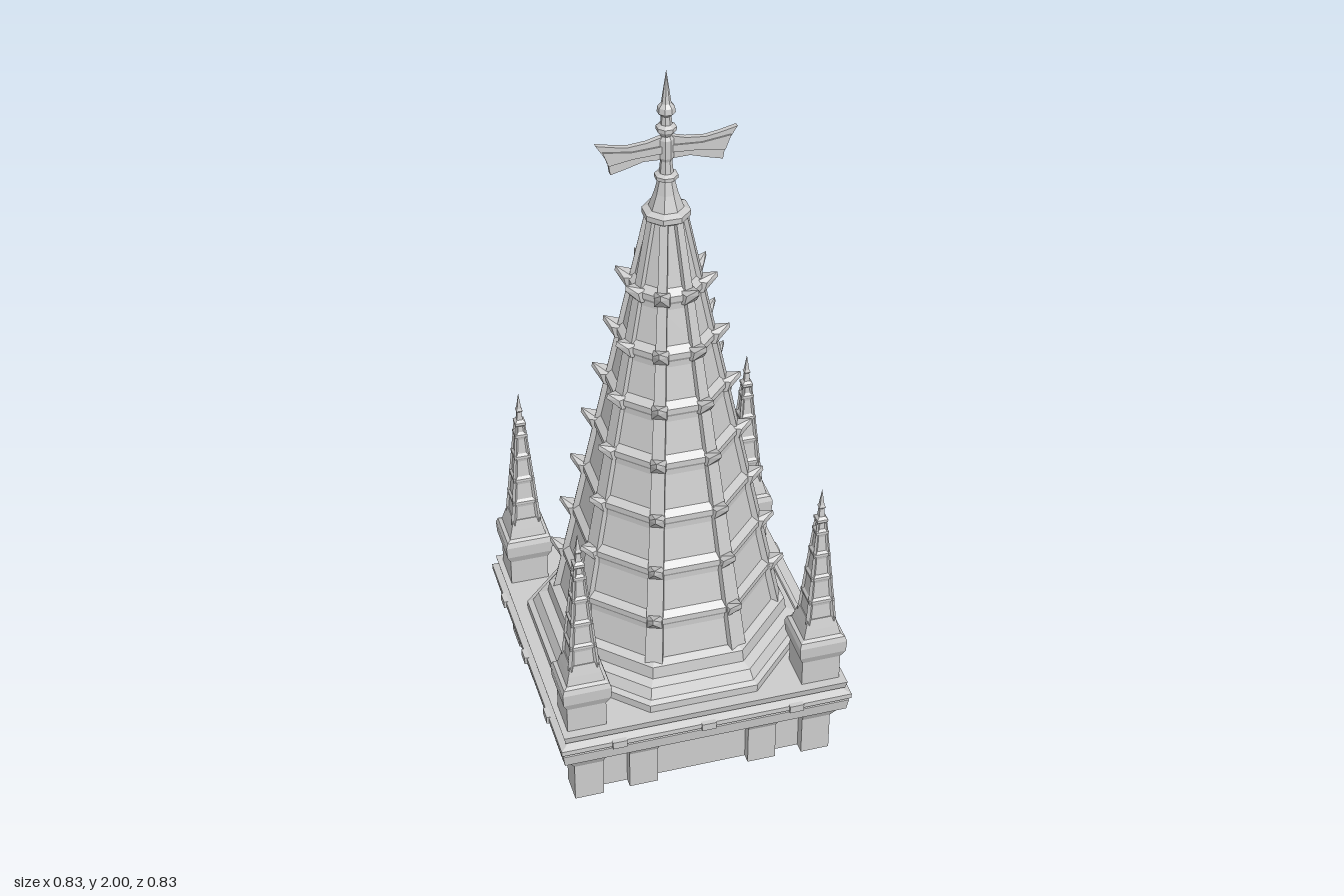
import * as THREE from 'three';
import { ConvexGeometry } from 'three/addons/geometries/ConvexGeometry.js';

const stone = new THREE.MeshStandardMaterial({ color: 0xcccccc, flatShading: true });

function add(parent, name, geometry, x = 0, y = 0, z = 0) {
  const mesh = new THREE.Mesh(geometry, stone);
  mesh.name = name;
  mesh.position.set(x, y, z);
  parent.add(mesh);
  return mesh;
}

// Regular n-sided solid from [half width across flats, y] pairs, bottom to top
function prism(profile, n) {
  const pts = profile.map(([a, y]) => new THREE.Vector2(a / Math.cos(Math.PI / n), y));
  const g = new THREE.LatheGeometry(pts, n, Math.PI / n).toNonIndexed();
  g.computeVertexNormals();
  return g;
}

const hull = (pts) => new ConvexGeometry(pts.map((p) => new THREE.Vector3(...p)));

// Rectangular block between two levels, each given as [x0, x1, z0, z1, y]
const loft = (...levels) => hull(levels.flatMap(([x0, x1, z0, z1, y]) =>
  [[x0, y, z0], [x1, y, z0], [x0, y, z1], [x1, y, z1]]));

// Tapering rib on a +z facing edge, running from radius r0 at y0 to r1 at y1
const ribGeometry = (r0, y0, w0, r1, y1, w1, out) => loft(
  [-w0, w0, r0 - 2 * w0, r0 + out, y0], [-w1, w1, r1 - 2 * w1, r1 + out, y1]);

// Tapered wall with a projecting string course at each given height
function bandedProfile(wall, y0, y1, bands, out, h) {
  const p = [[wall(y0), y0]];
  for (const b of bands) {
    p.push([wall(b - 2.6 * h), b - 2.6 * h], [wall(b) + out * 0.6, b - 1.6 * h],
      [wall(b) + out, b - h], [wall(b) + out, b], [wall(b + h), b + h]);
  }
  p.push([wall(y1), y1]);
  return p;
}

function buildBase() {
  const base = new THREE.Group();
  base.name = 'base';
  add(base, 'baseWall', prism([[0, 0], [0.335, 0], [0.335, 0.18], [0, 0.18]], 4));
  add(base, 'cornice', prism([[0, 0.165], [0.4, 0.165], [0.405, 0.2], [0.395, 0.205], [0.41, 0.21],
    [0.41, 0.225], [0.385, 0.235], [0.395, 0.24], [0.4, 0.262], [0, 0.262]], 4));
  for (let k = 0; k < 4; k++) {
    const side = new THREE.Group();
    side.name = 'baseSide';
    side.rotation.y = k * Math.PI / 2;
    base.add(side);
    // Piers with flared corbel heads
    for (const x of [-0.17, 0.17]) {
      add(side, 'pier', loft([x - 0.04, x + 0.04, 0.3, 0.362, 0], [x - 0.04, x + 0.04, 0.3, 0.362, 0.12]));
      add(side, 'corbel', loft([x - 0.04, x + 0.04, 0.3, 0.362, 0.12], [x - 0.045, x + 0.045, 0.3, 0.39, 0.17]));
    }
    add(side, 'cornerPier', loft([0.285, 0.366, 0.285, 0.366, 0], [0.285, 0.366, 0.285, 0.366, 0.12]));
    add(side, 'cornerCorbel', loft([0.285, 0.366, 0.285, 0.366, 0.12], [0.28, 0.393, 0.28, 0.393, 0.17]));
    // Small studs on the cornice
    for (const x of [-0.25, 0, 0.25])
      add(side, 'stud', new THREE.BoxGeometry(0.04, 0.022, 0.03), x, 0.217, 0.402);
  }
  return base;
}

function buildSpire() {
  const spire = new THREE.Group();
  spire.name = 'spire';
  const wall = (y) => 0.283 - (y - 0.37) * 0.196;
  const bands = [0.5, 0.645, 0.795, 0.95, 1.1, 1.25, 1.405];
  add(spire, 'plinth', prism([[0.365, 0.25], [0.365, 0.285], [0.35, 0.292], [0.335, 0.32],
    [0.31, 0.33], [0.305, 0.365], [0.285, 0.375], [0, 0.375]], 8));
  add(spire, 'spireWall', prism(bandedProfile(wall, 0.36, 1.6, bands, 0.014, 0.016), 8));

  const c = Math.cos(Math.PI / 8);
  for (let k = 0; k < 8; k++) {
    const edge = new THREE.Group();
    edge.name = 'spireEdge';
    edge.rotation.y = (k + 0.5) * Math.PI / 4;
    spire.add(edge);
    add(edge, 'rib', ribGeometry(wall(0.36) / c, 0.36, 0.024, wall(1.6) / c, 1.6, 0.01, 0.008));
    // Upturned crockets where each band meets the rib
    for (const b of bands) {
      const r = wall(b) / c;
      add(edge, 'crocket', hull([
        [-0.02, b - 0.035, r - 0.02], [0.02, b - 0.035, r - 0.02],
        [-0.02, b - 0.028, r + 0.012], [0.02, b - 0.028, r + 0.012],
        [-0.022, b + 0.004, r - 0.01], [0.022, b + 0.004, r - 0.01],
        [-0.02, b + 0.002, r + 0.02], [0.02, b + 0.002, r + 0.02],
        [0, b + 0.012, r + 0.046], [0, b + 0.026, r + 0.044]]));
    }
  }
  return spire;
}

function buildFinial() {
  const finial = new THREE.Group();
  finial.name = 'finial';
  add(finial, 'finialShaft', prism([[0.045, 1.585], [0.058, 1.595], [0.058, 1.61], [0.042, 1.618],
    [0.028, 1.66], [0.02, 1.695], [0.028, 1.7], [0.028, 1.71], [0.017, 1.716], [0.014, 1.75], [0.018, 1.76],
    [0.018, 1.81], [0.013, 1.82], [0.024, 1.835], [0.024, 1.845], [0.014, 1.852], [0.012, 1.875],
    [0.022, 1.885], [0.02, 1.9], [0.012, 1.91], [0, 2]], 8));
  // Thin arms widening to pointed ends, with a raised middle strip
  const outline = [[0, 1.755], [0.06, 1.757], [0.1, 1.745], [0.145, 1.733], [0.15, 1.765], [0.163, 1.79],
    [0.182, 1.82], [0.14, 1.81], [0.1, 1.803], [0.05, 1.808], [0, 1.822]];
  const strip = [[0, 1.775], [0.09, 1.77], [0.15, 1.76], [0.165, 1.8], [0.09, 1.79], [0, 1.795]];
  for (const s of [-1, 1]) {
    for (const [name, pts, depth] of [['arm', outline, 0.014], ['armStrip', strip, 0.022]]) {
      const shape = new THREE.Shape(pts.map(([x, y]) => new THREE.Vector2(s * x, y)));
      add(finial, name, new THREE.ExtrudeGeometry(shape, { depth, bevelEnabled: false }), 0, 0, -depth / 2);
    }
  }
  return finial;
}

function buildPinnacle() {
  const pinnacle = new THREE.Group();
  pinnacle.name = 'cornerPinnacle';
  const wall = (y) => 0.037 - (y - 0.46) * 0.083;
  add(pinnacle, 'pinnacleBase', prism([[0.054, 0.25], [0.054, 0.34], [0.065, 0.365], [0.067, 0.4], [0.062, 0.415],
    [0.052, 0.42], [0.046, 0.445], [0.038, 0.475], [0, 0.475]], 4));
  add(pinnacle, 'pinnacleSpire', prism([...bandedProfile(wall, 0.46, 0.78, [0.535, 0.61, 0.685, 0.755], 0.005, 0.007),
    [0.015, 0.785], [0.015, 0.793], [0.008, 0.8], [0.006, 0.825], [0.009, 0.83], [0.006, 0.837], [0, 0.885]], 4));
  // Edge ribs
  for (let k = 0; k < 4; k++) {
    const rib = add(pinnacle, 'pinnacleRib',
      ribGeometry(wall(0.46) * Math.SQRT2, 0.46, 0.006, wall(0.78) * Math.SQRT2, 0.78, 0.003, 0.003));
    rib.rotation.y = (k + 0.5) * Math.PI / 2;
  }
  return pinnacle;
}

export function createModel() {
  const model = new THREE.Group();
  model.name = 'spireTower';
  model.add(buildBase(), buildSpire(), buildFinial());
  for (const x of [-0.33, 0.33]) {
    for (const z of [-0.32, 0.32]) {
      const pinnacle = buildPinnacle();
      pinnacle.position.set(x, 0, z);
      model.add(pinnacle);
    }
  }
  return model;
}
